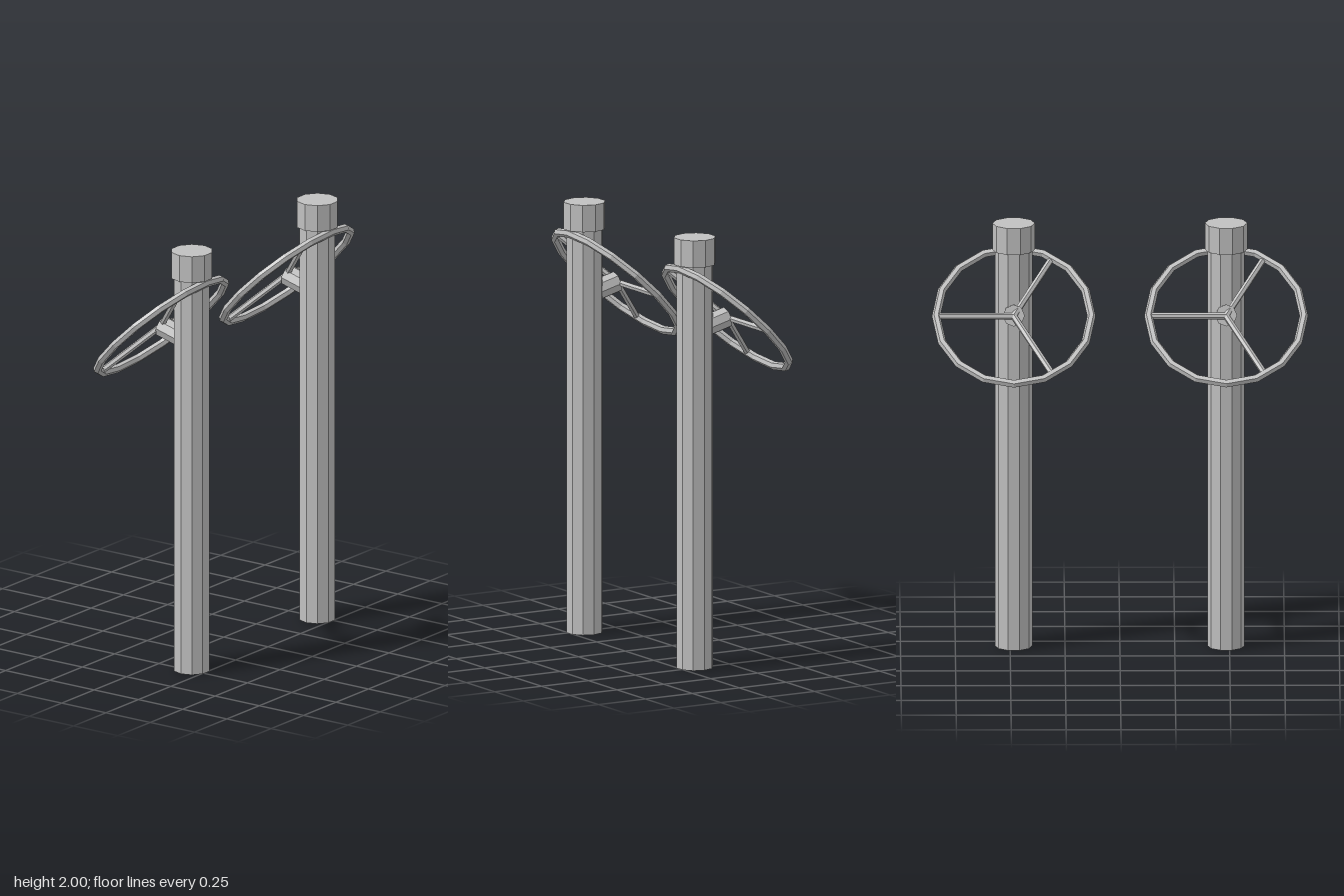
import * as THREE from 'three';

const metal = new THREE.MeshStandardMaterial({ color: 0xc0c0c0, flatShading: true });
metal.name = 'plain grey metal';

function part(name, geometry, parent) {
  const mesh = new THREE.Mesh(geometry, metal);
  mesh.name = name;
  parent.add(mesh);
  return mesh;
}

// Ten-sided upright with corners on the x axis
function upright(radius, bottom, top) {
  return new THREE.CylinderGeometry(radius, radius, top - bottom, 10)
    .rotateY(Math.PI / 2)
    .translate(0, (bottom + top) / 2, 0.174);
}

function createStation(name, x) {
  const station = new THREE.Group();
  station.name = name;
  station.position.x = x;

  part('post', upright(0.085, 0, 1.88), station);
  part('postCap', upright(0.097, 1.875, 2), station);

  // Short arm tilted up from the post to the wheel centre
  const arm = part('hubArm', new THREE.CylinderGeometry(0.05, 0.05, 0.16, 8).translate(0, 0.08, 0), station);
  arm.position.set(0, 1.609, 0.006);
  arm.rotation.x = THREE.MathUtils.degToRad(105);

  // Wheel leaning at 45 degrees, its upper edge towards the front
  const wheel = new THREE.Group();
  wheel.name = 'wheel';
  wheel.position.set(0, 1.608, 0.001);
  wheel.rotation.x = Math.PI / 4;
  station.add(wheel);

  const ringRadius = 0.354;
  part('rim', new THREE.TorusGeometry(ringRadius, 0.0195, 6, 16), wheel);
  for (let i = 0; i < 3; i++) {
    const spoke = new THREE.CylinderGeometry(0.015, 0.015, ringRadius, 6)
      .translate(0, ringRadius / 2, 0)
      .rotateZ(i * Math.PI * 2 / 3 - Math.PI / 2);
    part('spoke', spoke, wheel);
  }
  return station;
}

export function createModel() {
  const model = new THREE.Group();
  model.name = 'armWheels';
  model.add(createStation('rightStation', -0.484), createStation('leftStation', 0.484));
  return model;
}
